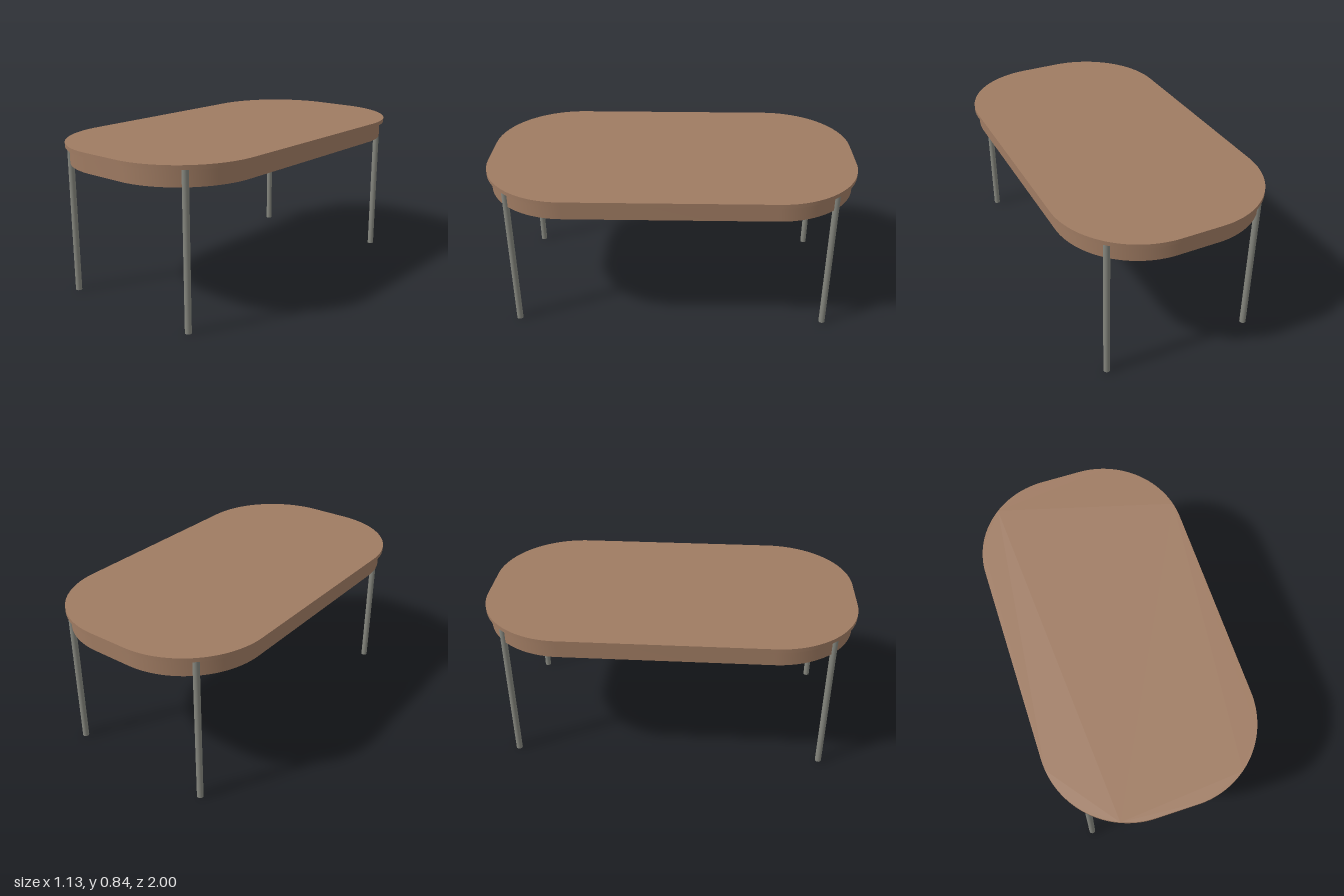
import * as THREE from 'three';
import { toCreasedNormals } from 'three/addons/utils/BufferGeometryUtils.js';

const HALF_X = 0.565, HALF_Z = 1, RADIUS = 0.455;

// Rounded rectangle, shrunk evenly by inset
function outline(inset, PathType = THREE.Shape) {
  const cx = HALF_X - RADIUS, cz = HALF_Z - RADIUS, r = RADIUS - inset;
  const path = new PathType();
  [[1, 1], [-1, 1], [-1, -1], [1, -1]].forEach(([sx, sz], i) => {
    path.absarc(sx * cx, sz * cz, r, i * Math.PI / 2, (i + 1) * Math.PI / 2, false);
  });
  path.closePath();
  return path;
}

// Horizontal slab between two heights, optionally hollowed to a ring
function slab(name, material, inset, y0, y1, wall = 0) {
  const shape = outline(inset);
  if (wall) shape.holes.push(outline(inset + wall, THREE.Path));
  const geometry = new THREE.ExtrudeGeometry(shape, { depth: y1 - y0, bevelEnabled: false, curveSegments: 24 });
  geometry.rotateX(-Math.PI / 2);
  geometry.translate(0, y0, 0);
  const mesh = new THREE.Mesh(toCreasedNormals(geometry, 0.6), material);
  mesh.name = name;
  return mesh;
}

export function createModel() {
  const wood = new THREE.MeshStandardMaterial({ name: 'brown wood', color: 0x9f7b62 });
  const metal = new THREE.MeshStandardMaterial({ name: 'grey metal', color: 0x85867e });
  const table = new THREE.Group();
  table.name = 'table';

  // Top, inset apron and the panel recessed inside it
  table.add(slab('tableTop', wood, 0, 0.818, 0.84));
  table.add(slab('apron', wood, 0.022, 0.73, 0.818, 0.014));
  table.add(slab('underPanel', wood, 0.036, 0.755, 0.818));

  // Legs centred on the apron's rounded corners
  const legGeometry = new THREE.CylinderGeometry(0.017, 0.017, 0.818, 24);
  for (const sx of [-1, 1]) {
    for (const sz of [-1, 1]) {
      const leg = new THREE.Mesh(legGeometry, metal);
      leg.name = (sz > 0 ? 'front' : 'back') + (sx > 0 ? 'Left' : 'Right') + 'Leg';
      leg.position.set(sx * 0.415, 0.409, sz * 0.851);
      table.add(leg);
    }
  }
  return table;
}
